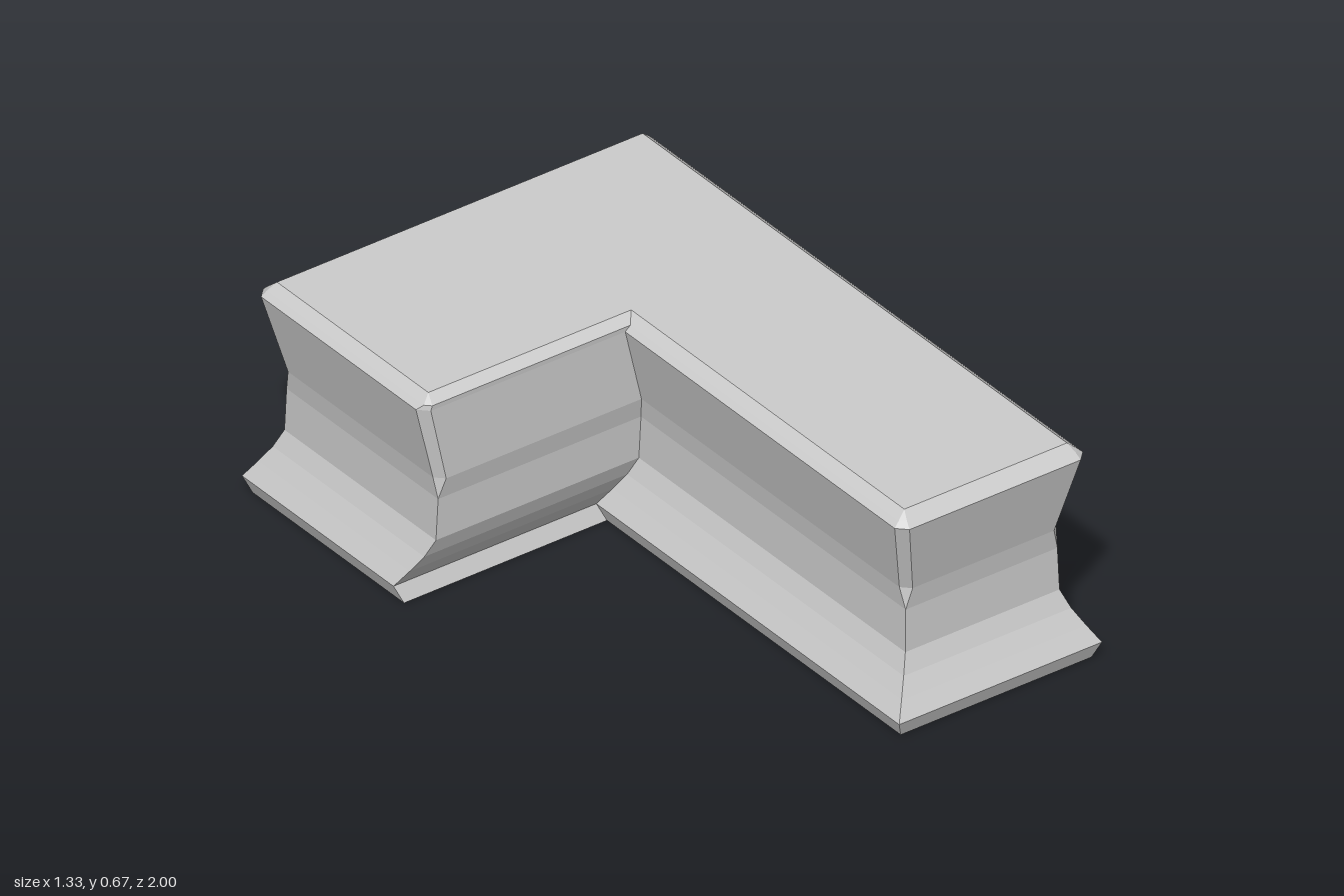
import * as THREE from 'three';

// Profile levels: height, inset of the outer walls, corner bevel, z of the short arm's front wall
const LEVELS = [
  [0, 0.02, 0, -0.313],
  [0.05, 0, 0, -0.333],
  [0.1, 0.03, 0, -0.303],
  [0.15, 0.058, 0, -0.275],
  [0.205, 0.08, 0, -0.253],
  [0.335, 0.084, 0, -0.249],
  [0.4, 0.076, 0.025, -0.236],
  [0.63, 0.024, 0.028, -0.238],
  [0.645, 0.04, 0.016, -0.237],
  [0.667, 0.066, 0, -0.268],
];
const HALF_WIDTH = 0.667;
const CONCAVE = 4; // index of the inner corner

// L-shaped outline at one level
function outline([, inset, , front]) {
  const w = HALF_WIDTH - inset, d = 1 - inset;
  return [[-w, -d], [w, -d], [w, d], [inset, d], [inset, front], [-w, front]]
    .map(([x, z]) => new THREE.Vector2(x, z));
}

// Two points per corner, pulled apart along the edges by the bevel
function ring(level) {
  const [y, , bevel] = level;
  const pts = outline(level), out = [];
  pts.forEach((p, i) => {
    const b = i === CONCAVE ? 0 : bevel;
    for (const step of [-1, 1]) {
      const q = pts[(i + step + pts.length) % pts.length];
      const m = q.clone().sub(p).setLength(b).add(p);
      out.push([m.x, y, m.y]);
    }
  });
  return out;
}

function meshFrom(positions, name) {
  const geometry = new THREE.BufferGeometry();
  geometry.setAttribute('position', new THREE.Float32BufferAttribute(positions, 3));
  geometry.computeVertexNormals();
  const mesh = new THREE.Mesh(geometry,
    new THREE.MeshStandardMaterial({ color: 0xcccccc, flatShading: true }));
  mesh.name = name;
  return mesh;
}

// Side walls through the given levels
function walls(levels, name) {
  const rings = levels.map(ring), pos = [];
  for (let k = 0; k < rings.length - 1; k++) {
    const n = rings[k].length;
    for (let j = 0; j < n; j++) {
      const a = rings[k][j], b = rings[k][(j + 1) % n];
      const c = rings[k + 1][(j + 1) % n], d = rings[k + 1][j];
      pos.push(...a, ...d, ...c, ...a, ...c, ...b);
    }
  }
  return meshFrom(pos, name);
}

// Flat L-shaped cap facing up or down
function cap(level, up, name) {
  const pts = outline(level), pos = [];
  for (const t of THREE.ShapeUtils.triangulateShape(pts, [])) {
    let [a, b, c] = t.map((i) => pts[i]);
    const facesUp = b.clone().sub(a).cross(c.clone().sub(a)) < 0;
    if (facesUp !== up) [b, c] = [c, b];
    for (const p of [a, b, c]) pos.push(p.x, level[0], p.y);
  }
  return meshFrom(pos, name);
}

export function createModel() {
  const group = new THREE.Group();
  group.name = 'cornerCounter';
  group.add(
    cap(LEVELS[0], false, 'underside'),
    walls(LEVELS.slice(0, 2), 'footRim'),
    walls(LEVELS.slice(1, 6), 'flaredBase'),
    walls(LEVELS.slice(5, 8), 'upperWalls'),
    walls(LEVELS.slice(7), 'topChamfer'),
    cap(LEVELS[LEVELS.length - 1], true, 'counterTop'),
  );
  return group;
}
